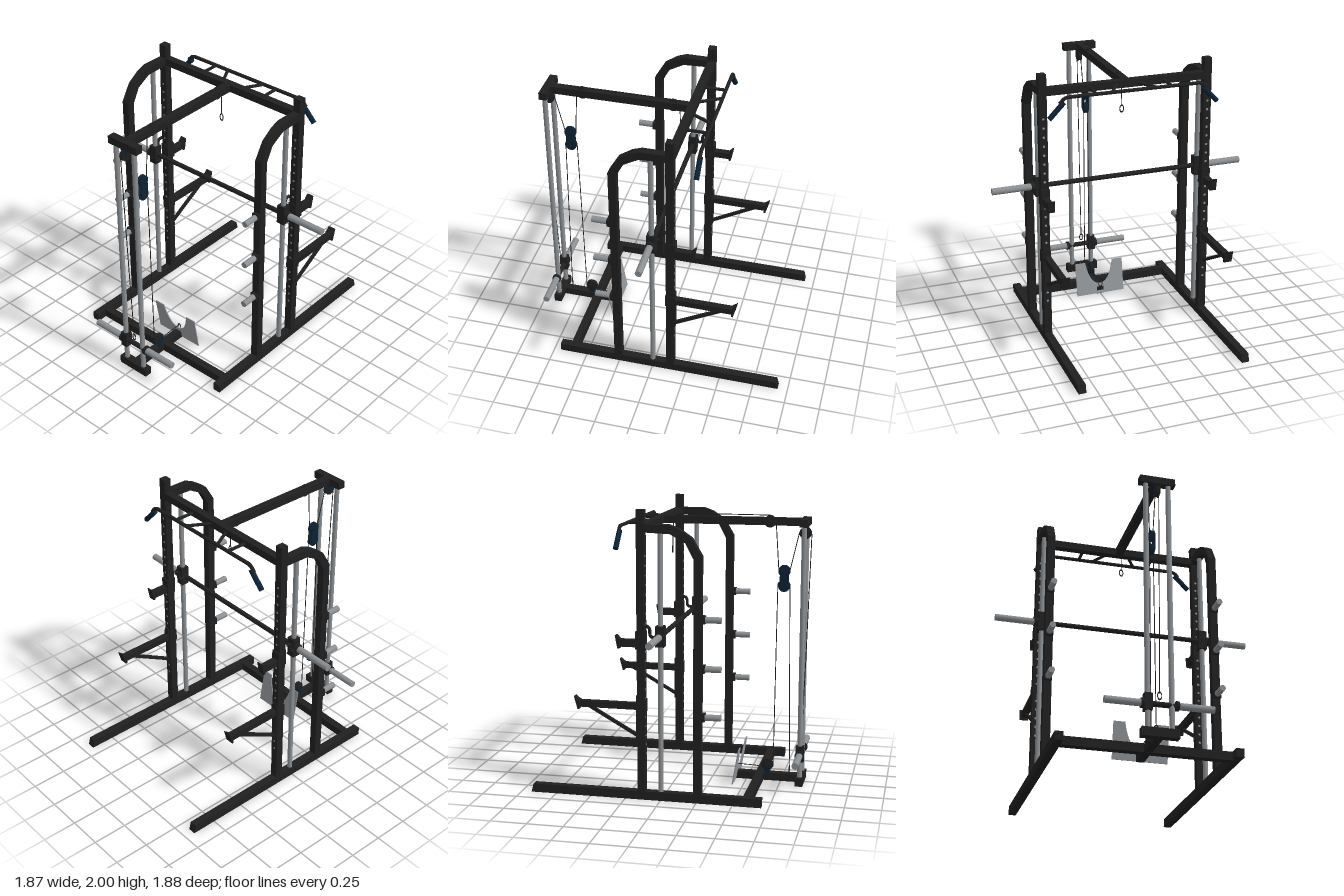
import * as THREE from 'three';

const mat = (name, color) => {
  const m = new THREE.MeshStandardMaterial({ color });
  m.name = name;
  return m;
};
const V = (x, y, z) => new THREE.Vector3(x, y, z);

export function createModel() {
  const root = new THREE.Group();
  root.name = 'powerRack';
  const frame = mat('frameBlack', 0x202020);
  const steel = mat('steelGrey', 0x8c9093);
  const navy = mat('gripNavy', 0x0b2235);
  const plateMat = mat('plateGrey', 0x94979b);

  const add = (name, geo, m, parent = root) => {
    const mesh = new THREE.Mesh(geo, m);
    mesh.name = name;
    parent.add(mesh);
    return mesh;
  };
  // Box given by its min and max on each axis
  const box = (name, x0, x1, y0, y1, z0, z1, m = frame, parent = root) =>
    add(name, new THREE.BoxGeometry(x1 - x0, y1 - y0, z1 - z0)
      .translate((x0 + x1) / 2, (y0 + y1) / 2, (z0 + z1) / 2), m, parent);
  // Round bar between two points
  const rod = (name, a, b, r, m = frame, parent = root, sides = 20) => {
    const d = b.clone().sub(a);
    const mesh = add(name, new THREE.CylinderGeometry(r, r, d.length(), sides), m, parent);
    mesh.position.copy(a).add(b).multiplyScalar(0.5);
    mesh.quaternion.setFromUnitVectors(V(0, 1, 0), d.normalize());
    return mesh;
  };
  // Side outline in x,y with a thickness centred on z
  const slab = (name, pts, depth, z, m = frame, parent = root) => {
    const shape = new THREE.Shape(pts.map(p => new THREE.Vector2(...p)));
    return add(name, new THREE.ExtrudeGeometry(shape, { depth, bevelEnabled: false })
      .translate(0, 0, z - depth / 2), m, parent);
  };
  const tube = (name, pts, r, m, parent = root, tension = 0.1) =>
    add(name, new THREE.TubeGeometry(
      new THREE.CatmullRomCurve3(pts, false, 'catmullrom', tension), pts.length * 10, r, 8), m, parent);

  // Two side frames
  for (const s of [-1, 1]) {
    const side = new THREE.Group();
    side.name = s > 0 ? 'frontSideFrame' : 'backSideFrame';
    root.add(side);
    const z = 0.602 * s, w = 0.055;

    slab('baseRail', [[-0.7, 0], [0.93, 0], [0.915, 0.06], [-0.7, 0.06]], w, z, frame, side);
    box('frontUpright', 0.105, 0.16, 0.06, 2, z - w / 2, z + w / 2, frame, side);

    // Rear upright bending forward into the front one
    slab('rearUpright', [
      [-0.285, 0.06], [-0.23, 0.06], [-0.23, 1.68], [-0.175, 1.785], [-0.07, 1.843], [0.105, 1.85],
      [0.105, 1.903], [-0.06, 1.903], [-0.125, 1.88], [-0.215, 1.82], [-0.285, 1.7]], w, z, frame, side);

    rod('guideRod', V(0, 0.06, z), V(0, 1.87, z), 0.018, steel, side);

    // Adjustment holes on the upright's front and rear faces
    for (let i = 0; i < 22; i++) {
      const y = 1.69 - i * 0.065;
      for (const [x, turn] of [[0.1605, 1], [0.1045, -1]]) {
        const hole = add('adjustmentHole', new THREE.CircleGeometry(0.009, 12), steel, side);
        hole.position.set(x, y, z);
        hole.rotation.y = turn * Math.PI / 2;
      }
    }

    // Weight storage pegs
    for (const y of [0.605, 0.94, 1.275]) {
      rod('storagePeg', V(-0.415, y, z), V(-0.3, y, z), 0.022, steel, side);
      box('pegFlange', -0.307, -0.285, y - 0.027, y + 0.027, z - 0.026, z + 0.026, frame, side);
    }

    // Bar hook
    box('barHookPlate', 0.1, 0.17, 1.06, 1.18, z - 0.031, z + 0.031, frame, side);
    box('barHookArm', 0.16, 0.29, 1.072, 1.122, z - 0.022, z + 0.022, frame, side);
    slab('barHookLip', [[0.28, 1.06], [0.295, 1.06], [0.312, 1.15], [0.302, 1.147], [0.28, 1.122]], 0.05, z, frame, side);

    // Safety arm with diagonal brace
    box('safetySleeve', 0.1, 0.167, 0.62, 0.71, z - 0.031, z + 0.031, frame, side);
    box('safetyPlate', 0.16, 0.169, 0.42, 0.735, z - 0.02, z + 0.02, frame, side);
    box('safetyArm', 0.165, 0.585, 0.637, 0.682, z - 0.022, z + 0.022, frame, side);
    slab('safetyLip', [[0.57, 0.622], [0.582, 0.622], [0.606, 0.712], [0.59, 0.695], [0.57, 0.682]], 0.06, z, frame, side);
    slab('safetyBrace', [[0.165, 0.44], [0.52, 0.64], [0.475, 0.64], [0.165, 0.465]], 0.02, z, frame, side);

    // Sliding carriage, latch and loading sleeve of the guided bar
    box('barCarriage', -0.03, 0.03, 1.08, 1.222, z - 0.03, z + 0.03, frame, side);
    tube('barLatch', [V(0, 1.15, z - 0.036), V(0.05, 1.15, z - 0.036), V(0.064, 1.165, z - 0.036),
      V(0.066, 1.2, z - 0.036), V(0.08, 1.222, z - 0.036), V(0.112, 1.225, z - 0.036)], 0.011, frame, side, 0.4);
    rod('sleeveCollar', V(0, 1.15, 0.63 * s), V(0, 1.15, 0.657 * s), 0.033, frame, side);
    rod('barSleeve', V(0, 1.15, 0.65 * s), V(0, 1.15, 0.938 * s), 0.024, steel, side);

    // Half of the pull-up bar with its angled grip
    tube('pullUpBar', [V(0.305, 1.875, 0), V(0.305, 1.875, 0.47 * s), V(0.305, 1.862, 0.505 * s),
      V(0.305, 1.835, 0.53 * s)], 0.013, frame, side);
    rod('pullUpGrip', V(0.305, 1.843, 0.5 * s), V(0.305, 1.735, 0.605 * s), 0.018, navy, side);
    rod('pullUpStrut', V(0.15, 1.875, 0.27 * s), V(0.305, 1.875, 0.27 * s), 0.011, frame, side);
    rod('pullUpDiagonal', V(0.15, 1.875, 0.075 * s), V(0.305, 1.875, 0.163 * s), 0.011, frame, side);

    // Guide rods of the cable tower and its loading sleeves
    rod('towerRod', V(-0.893, 0.06, 0.08 * s), V(-0.893, 1.85, 0.08 * s), 0.018, steel, side);
    rod('towerSleeve', V(-0.893, 0.225, 0.12 * s), V(-0.893, 0.225, 0.363 * s), 0.024, steel, side);
    rod('towerSleeveCollar', V(-0.893, 0.225, 0.105 * s), V(-0.893, 0.225, 0.125 * s), 0.033, frame, side);
  }

  // Cross members
  box('topCrossbar', 0.105, 0.16, 1.85, 1.903, -0.575, 0.575);
  box('baseCrossbar', -0.625, -0.57, 0, 0.06, -0.575, 0.575);
  box('topBeam', -0.87, 0.105, 1.85, 1.903, -0.027, 0.027);
  box('baseBeam', -0.87, -0.425, 0.002, 0.058, -0.027, 0.027);
  box('towerHead', -0.92, -0.865, 1.85, 1.903, -0.125, 0.125);
  box('towerFoot', -0.92, -0.865, 0, 0.06, -0.125, 0.125);
  rod('guidedBar', V(0, 1.15, -0.64), V(0, 1.15, 0.64), 0.017);

  // Weight carriage of the tower
  rod('towerCarriageBar', V(-0.893, 0.225, -0.12), V(-0.893, 0.225, 0.12), 0.018);
  box('towerCarriage', -0.922, -0.864, 0.175, 0.29, -0.106, -0.054);

  // Pulleys: a grooved wheel turned about z
  const wheel = [[0.001, -0.013], [0.042, -0.013], [0.042, -0.009], [0.034, 0], [0.042, 0.009], [0.042, 0.013], [0.001, 0.013]]
    .map(p => new THREE.Vector2(...p));
  const pulley = (x, y, m) => {
    const p = add('pulley', new THREE.LatheGeometry(wheel, 28).rotateX(Math.PI / 2), m);
    p.position.set(x, y, 0);
    rod('pulleyAxle', V(x, y, -0.024), V(x, y, 0.024), 0.009);
  };
  pulley(-0.893, 1.8, frame);
  pulley(-0.645, 1.875, frame);
  pulley(0, 1.875, frame);
  pulley(-0.65, 0.115, frame);
  pulley(-0.75, 1.53, navy);
  pulley(-0.75, 1.425, navy);
  for (const z of [-0.017, 0.017]) {
    box('floatingPulleyPlate', -0.78, -0.72, 1.415, 1.54, z - 0.003, z + 0.003, navy);
    box('lowPulleyBracket', -0.67, -0.63, 0.058, 0.125, z - 0.003, z + 0.003, navy);
    box('towerPulleyBracket', -0.912, -0.874, 1.79, 1.855, z - 0.003, z + 0.003, navy);
  }

  // Cables in the middle plane
  const cable = (name, pts) => tube(name, pts.map(p => V(p[0], p[1], 0)), 0.003, frame);
  cable('upperCable', [[0.05, 1.69], [0.048, 1.8], [0.04, 1.885], [0, 1.918], [-0.645, 1.918], [-0.685, 1.885],
    [-0.71, 1.54], [-0.725, 1.5], [-0.75, 1.49], [-0.775, 1.5], [-0.79, 1.54], [-0.85, 1.8], [-0.865, 1.83],
    [-0.893, 1.842], [-0.925, 1.83], [-0.936, 1.78], [-0.912, 0.88], [-0.893, 0.3]]);
  cable('lowerCable', [[-0.81, 0.12], [-0.79, 1.42], [-0.775, 1.455], [-0.75, 1.466], [-0.72, 1.455],
    [-0.705, 1.42], [-0.692, 0.115], [-0.68, 0.085], [-0.65, 0.074], [-0.62, 0.09], [-0.57, 0.1], [-0.43, 0.105]]);

  // Snap hooks at the cable ends
  for (const [x, y] of [[0.05, 1.665], [-0.81, 0.09], [-0.893, 0.285], [-0.425, 0.085]]) {
    const hook = add('snapHook', new THREE.TorusGeometry(0.014, 0.003, 6, 20).scale(1, 1.8, 1).rotateY(Math.PI / 2), frame);
    hook.position.set(x, y, 0);
  }

  // Leaning foot plate with a U-shaped notch
  const foot = new THREE.Shape();
  foot.moveTo(-0.19, 0);
  foot.lineTo(0.19, 0);
  foot.lineTo(0.19, 0.258);
  foot.lineTo(0.11, 0.258);
  foot.bezierCurveTo(0.095, 0.16, 0.06, 0.08, 0, 0.08);
  foot.bezierCurveTo(-0.06, 0.08, -0.095, 0.16, -0.11, 0.258);
  foot.lineTo(-0.19, 0.258);
  const plate = add('footPlate', new THREE.ExtrudeGeometry(foot, { depth: 0.007, bevelEnabled: false, curveSegments: 10 })
    .rotateY(Math.PI / 2), plateMat);
  plate.position.set(-0.428, 0.005, 0);
  plate.rotation.z = 0.17;

  return root;
}
